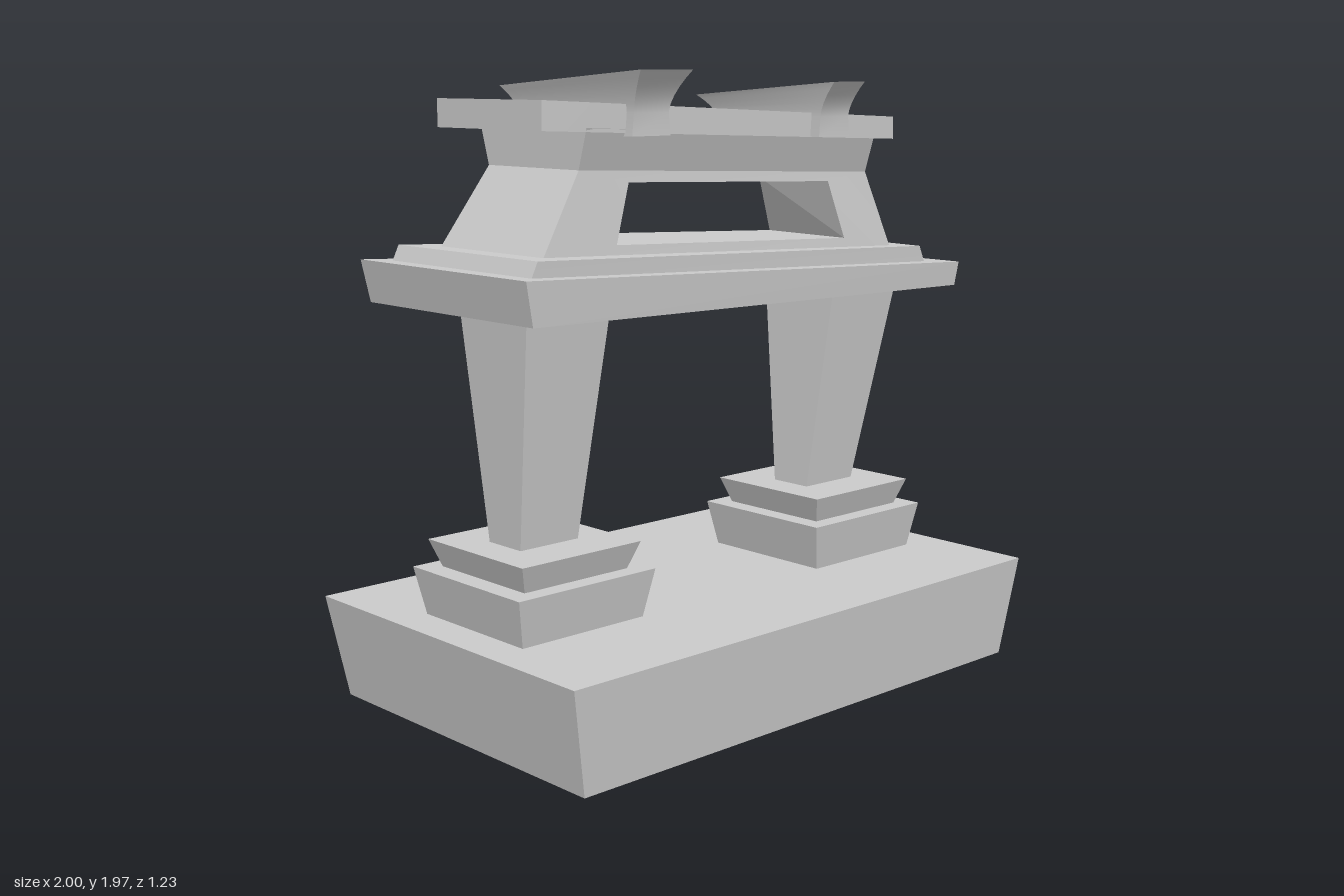
import * as THREE from 'three';
import { toCreasedNormals } from 'three/addons/utils/BufferGeometryUtils.js';

const grey = new THREE.MeshStandardMaterial({ color: 0xcccccc });
const greyDouble = new THREE.MeshStandardMaterial({ color: 0xcccccc, side: THREE.DoubleSide });

// Mesh from a list of polygons, each a loop of points counter-clockwise from outside
function facesMesh(name, faces, material = grey, crease = 0.1) {
  const pos = [];
  for (const f of faces) {
    for (let i = 1; i < f.length - 1; i++) pos.push(...f[0], ...f[i], ...f[i + 1]);
  }
  const geo = new THREE.BufferGeometry();
  geo.setAttribute('position', new THREE.Float32BufferAttribute(pos, 3));
  const mesh = new THREE.Mesh(toCreasedNormals(geo, crease), material);
  mesh.name = name;
  return mesh;
}

// Quads joining two loops of equal length
const band = (a, b) => a.map((p, i) => {
  const j = (i + 1) % a.length;
  return [p, a[j], b[j], b[i]];
});

// Solid through a stack of loops, lowest first
function loft(name, rings, { bottom = true, material = grey, crease = 0.1 } = {}) {
  const faces = [rings[rings.length - 1]];
  if (bottom) faces.push([...rings[0]].reverse());
  for (let i = 0; i < rings.length - 1; i++) faces.push(...band(rings[i], rings[i + 1]));
  return facesMesh(name, faces, material, crease);
}

// Four-cornered loop: left and right ends have their own height and half depth
const ring = (x0, x1, y0, y1, z0, z1, x1Back = x1) => [
  [x0, y0, z0], [x1, y1, z1], [x1Back, y1, -z1], [x0, y0, -z0],
];
const level = (x0, x1, y, z) => ring(x0, x1, y, y, z, z);

// Stepped foot and tapering pillar
function support(name, foot, step, pillar) {
  const g = new THREE.Group();
  g.name = name;
  const [px0, px1, px2, px3] = pillar;
  g.add(
    loft('plinth', [level(foot[0] + 0.03, foot[1] - 0.03, 0.33, 0.235), level(...foot, 0.48, 0.26)]),
    loft('plinthStep', [level(step[0] + 0.03, step[1] - 0.03, 0.48, 0.2), level(...step, 0.565, 0.23)]),
    loft('pillar', [level(px0, px1, 0.565, 0.075), level(px2, px3, 1.3, 0.163)]),
  );
  return g;
}

// Window body with an opening right through it, and a flared neck above
function house() {
  const g = new THREE.Group();
  g.name = 'house';
  const low = ring(-0.8, 0.765, 1.43, 1.365, 0.245, 0.187, 0.815);
  const mid = ring(-0.63, 0.675, 1.685, 1.63, 0.21, 0.145);
  const top = ring(-0.63, 0.675, 1.805, 1.75, 0.247, 0.183);
  const mix = (a, b, t) => a.map((v, i) => v + (b[i] - v) * t);
  const opening = (o) => [[0.175, 0.18], [0.853, 0.17], [0.842, 0.88], [0.162, 0.87]]
    .map(([u, v]) => mix(mix(o[0], o[1], u), mix(o[3], o[2], u), v));
  const front = [low[0], low[1], mid[1], mid[0]];
  const back = [low[3], low[2], mid[2], mid[3]];
  const frontHole = opening(front), backHole = opening(back);
  g.add(
    facesMesh('windowWalls', [
      ...band(front, frontHole),
      ...band(back, backHole).map((f) => f.reverse()),
      [low[3], low[0], mid[0], mid[3]],
      [low[1], low[2], mid[2], mid[1]],
    ]),
    facesMesh('windowLining', band(frontHole, backHole)),
    loft('neck', [mid, top]),
  );
  return g;
}

// Cross beam with curled ends; front and back ends differ in height and width
function crossBeam(name, s) {
  const rings = [];
  const add = (yf, yb, z, wf, wb) => rings.push([
    [s.x - wf, yf, z], [s.x + wf, yf, z], [s.x + wb, yb, -z], [s.x - wb, yb, -z],
  ]);
  add(s.foot, s.foot, s.zFoot, s.wFoot, s.wFoot);
  const n = 5;
  for (let i = 0; i <= n; i++) {
    const t = i / n, k = t ** 1.6;
    add(
      s.waist + (s.yFront - s.waist) * t,
      s.waist + (s.yBack - s.waist) * t,
      s.zFoot + (s.zTop - s.zFoot) * k,
      s.wWaist + (s.wFront - s.wWaist) * k,
      s.wWaist + (s.wBack - s.wWaist) * k,
    );
  }
  return loft(name, rings, { crease: 0.5 });
}

export function createModel() {
  const model = new THREE.Group();
  model.name = 'gate';

  // Hollow base, open underneath
  model.add(loft('base', [level(-0.94, 0.91, 0, 0.58), level(-1, 0.963, 0.33, 0.613)],
    { bottom: false, material: greyDouble }));

  // Two supports
  model.add(
    support('rightSupport', [-0.907, -0.385], [-0.87, -0.417], [-0.755, -0.535, -0.787, -0.468]),
    support('leftSupport', [0.332, 0.852], [0.365, 0.82], [0.48, 0.705, 0.515, 0.838]),
  );

  // Sloping slab and the ledge on it
  model.add(
    loft('slab', [ring(-0.945, 0.985, 1.28, 1.235, 0.39, 0.29), ring(-0.972, 1, 1.41, 1.315, 0.397, 0.295)]),
    loft('ledge', [
      ring(-0.905, 0.88, 1.4, 1.32, 0.332, 0.24, 0.928),
      ring(-0.88, 0.855, 1.452, 1.375, 0.332, 0.24, 0.9),
    ]),
  );

  model.add(house());

  // Roof: straight at the wide end, then tapering
  const roofLoop = (yl, yr) => {
    const side = [[-0.79, 0.245], [-0.6, 0.245], [0.772, 0.182]]
      .map(([x, z]) => [x, yl + (yr - yl) * (x + 0.79) / 1.562, z]);
    return [...side, ...side.map(([x, y, z]) => [x, y, -z]).reverse()];
  };
  model.add(loft('roof', [roofLoop(1.8, 1.738), roofLoop(1.885, 1.812)]));

  // Cross beams clasping the roof
  model.add(
    crossBeam('rightCrossBeam', {
      x: -0.404, foot: 1.778, waist: 1.845, yFront: 1.968, yBack: 1.92,
      zFoot: 0.27, zTop: 0.338, wFoot: 0.075, wWaist: 0.068, wFront: 0.102, wBack: 0.084,
    }),
    crossBeam('leftCrossBeam', {
      x: 0.414, foot: 1.756, waist: 1.82, yFront: 1.93, yBack: 1.885,
      zFoot: 0.24, zTop: 0.304, wFoot: 0.071, wWaist: 0.066, wFront: 0.072, wBack: 0.096,
    }),
  );

  return model;
}
